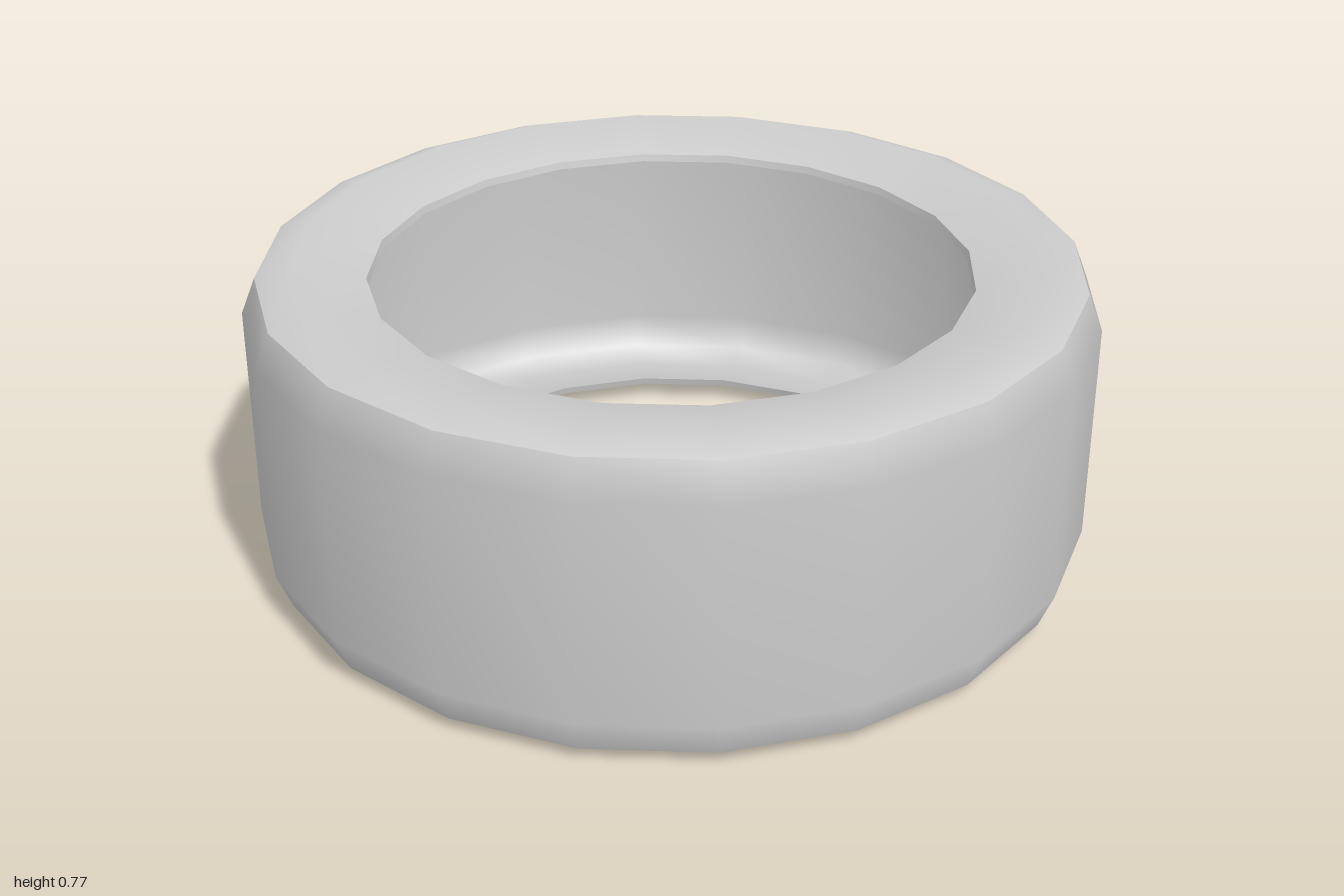
import * as THREE from 'three';

const HEIGHT = 0.77;
const SIDES = 20;

// Flip a profile to the bottom half, reversed so the surface still faces outward
const mirror = (points) => points.map(([r, y]) => [r, HEIGHT - y]).reverse();

export function createModel() {
  const group = new THREE.Group();
  group.name = 'tire';
  const material = new THREE.MeshStandardMaterial({ color: 0xcccccc });

  // Each band is turned on its own, so edges between bands stay sharp
  const addBand = (name, points) => {
    const profile = points.map(([r, y]) => new THREE.Vector2(r, y));
    const band = new THREE.Mesh(new THREE.LatheGeometry(profile, SIDES), material);
    band.name = name;
    group.add(band);
  };

  // Upper half of the cross-section as [radius, y]
  const treadHalf = [[1.0, 0.65], [0.965, 0.737]];
  const sidewall = [[0.965, 0.737], [0.88, 0.77], [0.71, 0.724]];
  const beadLip = [[0.71, 0.724], [0.706, 0.706]];
  // Hollow inside of the thin shell, following the outer shape
  const innerHalf = [[0.706, 0.706], [0.877, 0.75], [0.95, 0.722], [0.98, 0.645]];

  addBand('tread', [...mirror(treadHalf), ...treadHalf]);
  addBand('upperSidewall', sidewall);
  addBand('lowerSidewall', mirror(sidewall));
  addBand('upperBeadLip', beadLip);
  addBand('lowerBeadLip', mirror(beadLip));
  addBand('innerWall', [...innerHalf, ...mirror(innerHalf)]);
  return group;
}
